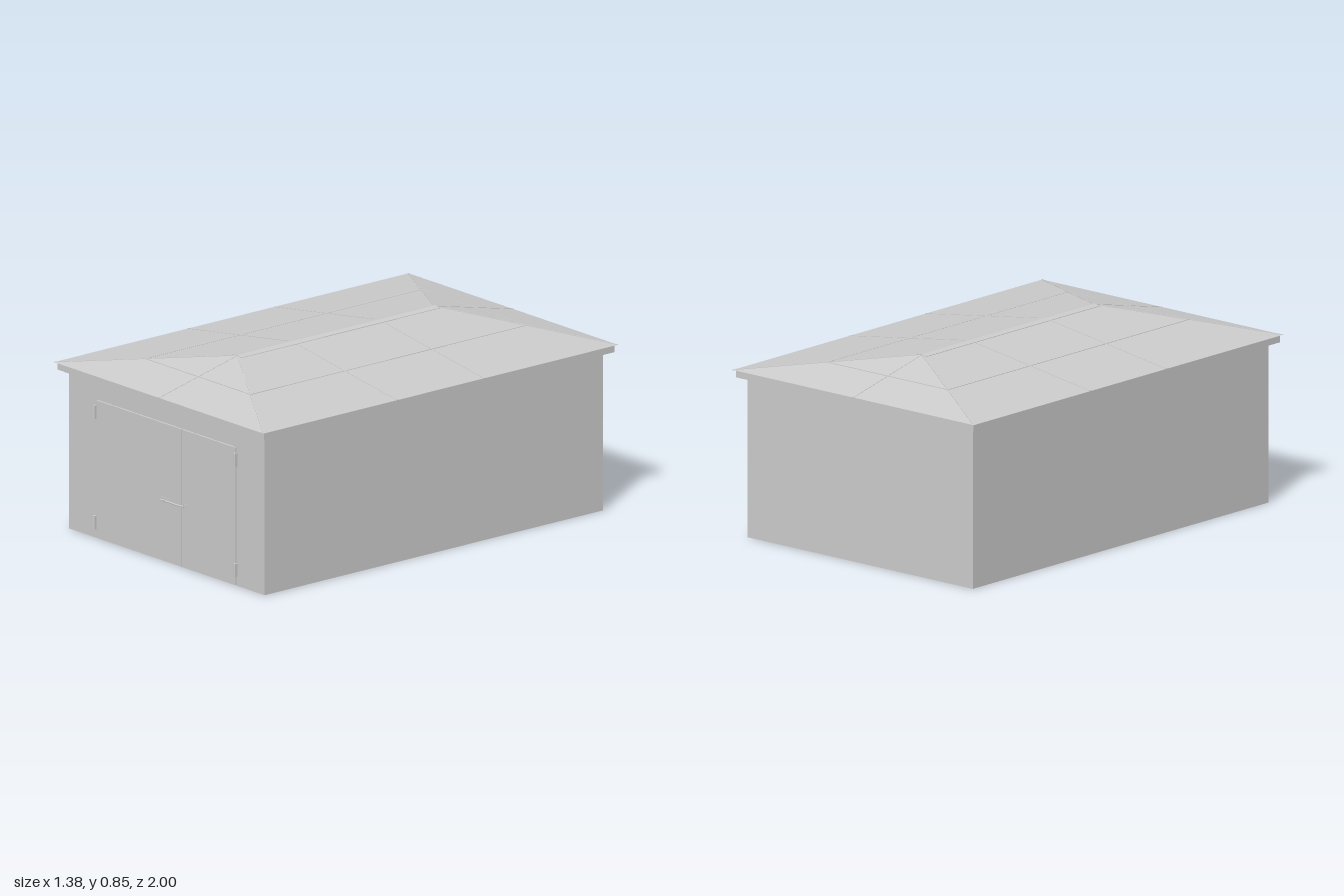
import * as THREE from 'three';

const mat = new THREE.MeshStandardMaterial({ color: 0xcccccc, flatShading: true, side: THREE.DoubleSide });
const W = 0.645, D = 0.955, WALL_TOP = 0.742;          // wall half sizes and height
const EX = 0.69, EZ = 1, EY = 0.743, RZ = 0.555, RY = 0.845; // eave and ridge

export function createModel() {
  const model = new THREE.Group();
  const add = (name, geo, x = 0, y = 0, z = 0, parent = model) => {
    const m = new THREE.Mesh(geo, mat);
    m.name = name;
    m.position.set(x, y, z);
    parent.add(m);
    return m;
  };
  // Box given by its limits
  const block = (name, x0, x1, y0, y1, z0, z1, parent) =>
    add(name, new THREE.BoxGeometry(x1 - x0, y1 - y0, z1 - z0), (x0 + x1) / 2, (y0 + y1) / 2, (z0 + z1) / 2, parent);
  const outline = (pts) => new THREE.Shape(pts.map(([x, y]) => new THREE.Vector2(x, y)));
  const rect = (x, y) => [[-x, -y], [x, -y], [x, y], [-x, y]];

  // Thin sheet walls, open at the bottom
  for (const s of [-1, 1]) {
    const wall = add('sideWall', new THREE.PlaneGeometry(2 * D, WALL_TOP), s * W, WALL_TOP / 2, 0);
    wall.rotation.y = s * Math.PI / 2;
  }
  add('backWall', new THREE.PlaneGeometry(2 * W, WALL_TOP), 0, WALL_TOP / 2, -D).rotation.y = Math.PI;
  add('frontWall', new THREE.ShapeGeometry(outline([
    [-W, 0], [-0.465, 0], [-0.465, 0.62], [0.46, 0.62], [0.46, 0], [W, 0], [W, WALL_TOP], [-W, WALL_TOP],
  ])), 0, 0, D);

  // Fascia ring under the eaves
  const ring = outline(rect(0.68, 0.99));
  ring.holes.push(outline(rect(W, D)));
  const fascia = add('fascia', new THREE.ExtrudeGeometry(ring, { depth: 0.032, bevelEnabled: false }), 0, 0.71, 0);
  fascia.rotation.x = -Math.PI / 2;

  // Hipped roof sheet
  const corners = [[-EX, EY, EZ], [EX, EY, EZ], [EX, EY, -EZ], [-EX, EY, -EZ], [0, RY, RZ], [0, RY, -RZ]];
  const roofGeo = new THREE.BufferGeometry();
  roofGeo.setAttribute('position', new THREE.Float32BufferAttribute(corners.flat(), 3));
  roofGeo.setIndex([0, 1, 4, 1, 2, 5, 1, 5, 4, 2, 3, 5, 3, 0, 4, 3, 4, 5]);
  const roofFlat = roofGeo.toNonIndexed();
  roofFlat.computeVertexNormals();
  add('roof', roofFlat);

  // Seams between the roof panels
  const seams = new THREE.Group();
  seams.name = 'roofSeams';
  model.add(seams);
  const seam = (name, a, b) => {
    const p = new THREE.Vector3(...a), q = new THREE.Vector3(...b);
    const bar = add(name, new THREE.BoxGeometry(0.005, 0.003, p.distanceTo(q)), 0, 0, 0, seams);
    bar.position.copy(p).add(q).multiplyScalar(0.5);
    bar.lookAt(q);
  };
  const mx = EX / 2, my = (EY + RY) / 2, mz = (EZ + RZ) / 2;
  for (const s of [-1, 1]) {
    seam('sideSeam', [s * mx, my, -mz], [s * mx, my, mz]);
    seam('endSeam', [-mx, my, s * mz], [mx, my, s * mz]);
    seam('endJoint', [0, EY, s * EZ], [0, RY, s * RZ]);
    for (const t of [-1, 1]) {
      seam('sideJoint', [s * EX, EY, t * 0.245], [0, RY, t * 0.245]);
      seam('hipSeam', [s * EX, EY, t * EZ], [0, RY, t * RZ]);
    }
  }

  // Ridge cap
  const cap = outline([[-0.03, 0.8405], [0, 0.845], [0.03, 0.8405], [0.03, 0.8425], [0, 0.848], [-0.03, 0.8425]]);
  add('ridgeCap', new THREE.ExtrudeGeometry(cap, { depth: 1.12, bevelEnabled: false }), 0, 0, -0.56);

  // Two unequal door leaves with an inner cover strip
  block('wideDoor', -0.463, 0.103, 0.002, 0.618, D - 0.004, D + 0.005);
  block('narrowDoor', 0.106, 0.458, 0.002, 0.618, D - 0.004, D + 0.005);
  block('coverStrip', 0.008, 0.122, 0.002, 0.616, D - 0.009, D - 0.004);

  // Hinges: barrel on a narrow plate
  for (const x of [-0.465, 0.46]) {
    for (const y of [0.07, 0.565]) {
      block('hingePlate', x - 0.007, x + 0.007, y - 0.03, y + 0.03, D, D + 0.009);
      add('hingeBarrel', new THREE.CylinderGeometry(0.006, 0.006, 0.06, 10), x, y, D + 0.011);
    }
  }

  // Latch: plates, sliding bar and staples
  block('latchPlate', -0.035, 0.045, 0.262, 0.288, D + 0.005, D + 0.007);
  block('keeperPlate', 0.108, 0.15, 0.262, 0.288, D + 0.005, D + 0.007);
  const bar = add('latchBar', new THREE.CylinderGeometry(0.004, 0.004, 0.15, 8), 0.05, 0.275, D + 0.012);
  bar.rotation.z = Math.PI / 2;
  for (const x of [-0.004, 0.112]) block('latchStaple', x - 0.005, x + 0.005, 0.269, 0.281, D + 0.007, D + 0.018);

  // Bolts inside the narrow leaf
  for (const y of [0.115, 0.52]) block('innerBolt', 0.344, 0.35, y - 0.016, y + 0.016, D - 0.009, D - 0.004);

  return model;
}
